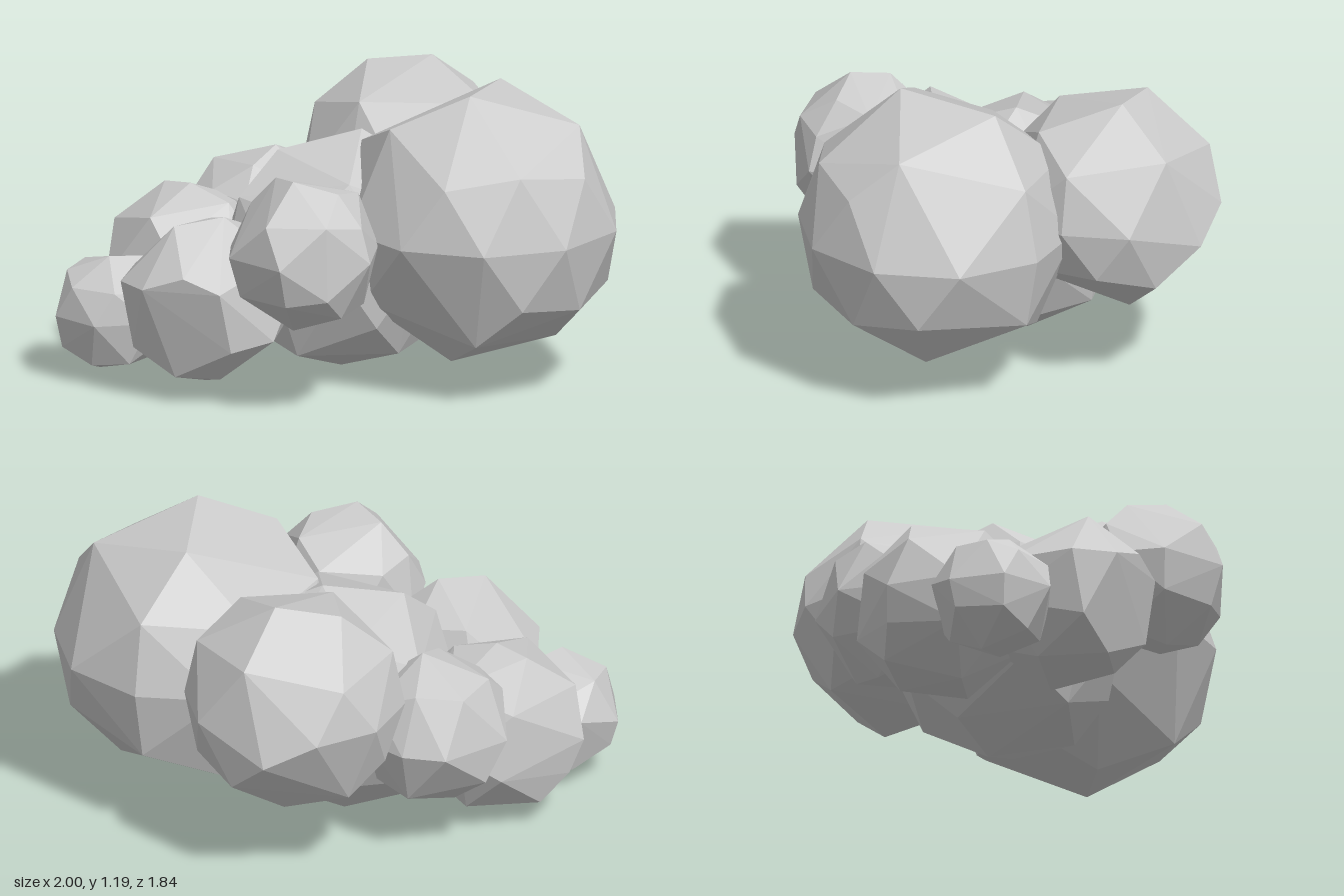
import * as THREE from 'three';
import { mergeVertices } from 'three/addons/utils/BufferGeometryUtils.js';
import { ConvexGeometry } from 'three/addons/geometries/ConvexGeometry.js';

// Small seeded generator
function seeded(seed) {
  let s = seed * 7919 + 17;
  return () => (s = (s * 16807) % 2147483647) / 2147483647;
}

// Unit ball of 42 corners, with one corner pointing straight up
function ballCorners() {
  let geometry = new THREE.IcosahedronGeometry(1, 1);
  geometry.deleteAttribute('normal');
  geometry.deleteAttribute('uv');
  geometry = mergeVertices(geometry, 1e-3);
  geometry.rotateX(-Math.atan2(1 + Math.sqrt(5), 2));
  geometry.rotateY(Math.PI / 2);
  const position = geometry.attributes.position;
  return Array.from({ length: position.count }, (_, i) => new THREE.Vector3().fromBufferAttribute(position, i));
}

// Coarse rock-like ball: pairs of neighbouring corners are merged into one, pushed slightly outwards.
// The pairs nearest the peak directions go first, the rest follow in a seeded order.
function coarseBall({ radius, merges, keepRim, peaks }, seed) {
  const random = seeded(seed);
  const corners = ballCorners();
  const pairs = [];
  corners.forEach((a, i) => corners.slice(i + 1).forEach((b) => {
    if (a.distanceTo(b) < 0.65) pairs.push({ a, b, mid: a.clone().add(b).normalize(), order: random() });
  }));
  pairs.sort((p, q) => p.order - q.order);

  const used = new Set();
  const merged = [];
  const isFree = ({ a, b }) => !used.has(a) && !used.has(b);
  const merge = ({ a, b }, direction) => {
    used.add(a).add(b);
    merged.push(direction.clone().setLength(1.03));
  };
  for (const peak of peaks) {
    const direction = new THREE.Vector3(...peak).normalize();
    const nearest = pairs.filter(isFree).sort((p, q) => q.mid.dot(direction) - p.mid.dot(direction))[0];
    merge(nearest, direction);
  }
  const onRim = (p) => Math.abs(p.y) < 0.1;
  for (const pair of pairs) {
    if (merged.length >= merges) break;
    if (keepRim && (onRim(pair.a) || onRim(pair.b))) continue;
    if (isFree(pair)) merge(pair, pair.mid);
  }
  const kept = corners.filter((p) => !used.has(p));
  return new ConvexGeometry([...kept, ...merged].map((p) => p.clone().multiplyScalar(radius)));
}

// Each lobe: centre, radius, number of merged pairs, whether the widest ring stays whole, peak directions
const LOBES = {
  largeLobe: { centre: [0.475, 0.65, -0.14], radius: 0.545, merges: 12, keepRim: true,
    peaks: [[0.05, 0.54, 0.15], [-0.04, -0.54, 0.15]] },
  backLobe: { centre: [-0.12, 0.69, -0.5], radius: 0.43, merges: 14, keepRim: true,
    peaks: [[0.04, 0.44, -0.1], [0, -0.44, -0.1], [-0.06, -0.1, -0.42], [0.05, 0.24, -0.32], [0.1, -0.23, -0.32]] },
  centreLobe: { centre: [-0.09, 0.475, 0], radius: 0.47, merges: 13, keepRim: true,
    peaks: [[0.05, 0.46, -0.06], [-0.03, -0.46, -0.04]] },
  rightBackLobe: { centre: [-0.55, 0.49, -0.14], radius: 0.3, merges: 16, keepRim: false,
    peaks: [[-0.16, 0, -0.25], [-0.3, 0, 0], [0.05, 0.3, 0]] },
  rightLobe: { centre: [-0.65, 0.355, 0.22], radius: 0.345, merges: 16, keepRim: false,
    peaks: [[-0.35, -0.02, 0.04], [-0.02, -0.33, 0.12], [0.16, -0.31, -0.02], [-0.14, 0.32, -0.03]] },
  rightFrontLobe: { centre: [-0.75, 0.255, 0.59], radius: 0.24, merges: 17, keepRim: false,
    peaks: [[0.07, 0, 0.23], [-0.24, 0, 0]] },
  frontLobe: { centre: [-0.32, 0.38, 0.585], radius: 0.335, merges: 17, keepRim: false,
    peaks: [[-0.075, 0.09, 0.33], [0.085, 0.33, 0], [0.32, -0.13, 0], [-0.3, 0.07, 0], [0, -0.28, 0.21]] },
  leftFrontLobe: { centre: [0.145, 0.635, 0.58], radius: 0.3, merges: 16, keepRim: false,
    peaks: [[0.3, 0, 0], [0.09, 0, 0.3], [0, 0.3, 0.08], [0, -0.3, 0.08], [-0.18, 0, 0.24]] },
};

export function createModel() {
  const cluster = new THREE.Group();
  cluster.name = 'lobedCluster';
  const material = new THREE.MeshStandardMaterial({ color: 0xcccccc, flatShading: true });

  // Overlapping lobes
  Object.entries(LOBES).forEach(([name, lobe], i) => {
    const mesh = new THREE.Mesh(coarseBall(lobe, i + 1), material);
    mesh.name = name;
    mesh.position.set(...lobe.centre);
    cluster.add(mesh);
  });
  return cluster;
}
